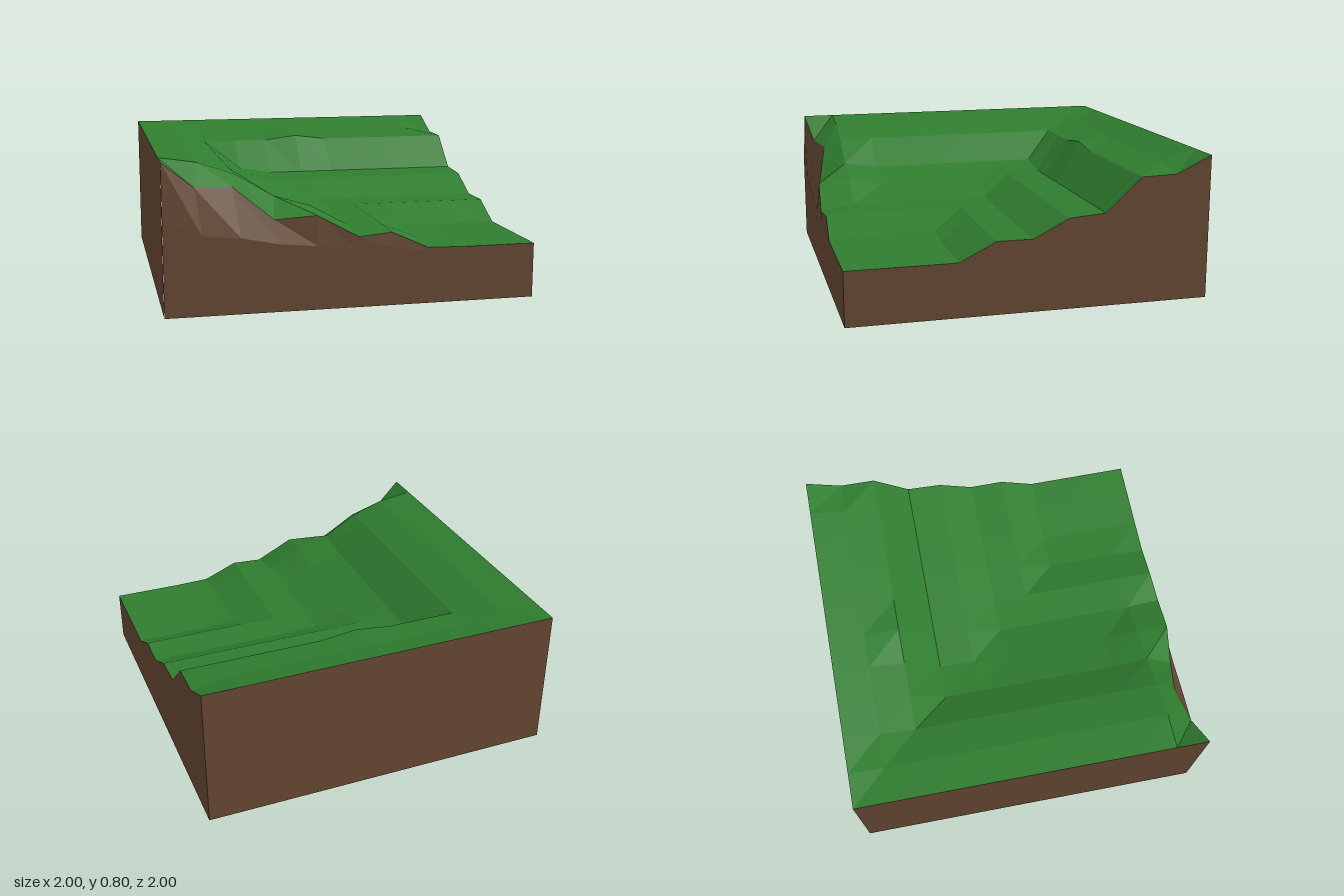
import * as THREE from 'three';

// Sheet through rows of points: columns run left to right and rows top to bottom, seen from outside
function sheet(name, rows, material) {
  const pos = [];
  for (let j = 0; j < rows.length - 1; j++) {
    for (let i = 0; i < rows[j].length - 1; i++) {
      const a = rows[j][i], b = rows[j][i + 1], c = rows[j + 1][i + 1], d = rows[j + 1][i];
      for (const p of [a, d, c, a, c, b]) pos.push(...p);
    }
  }
  const geo = new THREE.BufferGeometry();
  geo.setAttribute('position', new THREE.Float32BufferAttribute(pos, 3));
  geo.computeVertexNormals();
  const mesh = new THREE.Mesh(geo, material);
  mesh.name = name;
  return mesh;
}

export function createModel() {
  const grass = new THREE.MeshStandardMaterial({ color: 0x2f7d2f });
  grass.name = 'grass green';
  const soil = new THREE.MeshStandardMaterial({ color: 0x664833 });
  soil.name = 'soil brown';
  const group = new THREE.Group();
  group.name = 'terracedCornerTile';

  // Terrace heights falling from the left edge and from the back edge
  const fromLeft = [0.8, 0.77, 0.7, 0.55, 0.48, 0.41, 0.4, 0.32, 0.3, 0.3, 0.3];
  const fromBack = [0.8, 0.74, 0.7, 0.515, 0.5, 0.4, 0.4, 0.3, 0.3, 0.3, 0.3];
  const ground = fromBack.map((hb, j) => fromLeft.map((hl, i) =>
    [-1 + i * 0.2, Math.max(hl, hb), -1 + j * 0.2]));
  ground[1][10][1] = 0.705;
  ground[2][5][1] = 0.725;
  ground[9][3][1] = 0.58;
  ground[9][4][1] = 0.52;

  // Broken front rim, leaning back into the slope
  ground[10] = [
    [-1, 0.8, 0.985], [-0.83, 0.66, 0.945], [-0.63, 0.65, 0.9], [-0.42, 0.48, 0.955],
    [-0.2, 0.5, 0.985], [0.02, 0.38, 1], [0.2, 0.395, 0.99], [0.4, 0.305, 1],
    [0.6, 0.3, 1], [0.8, 0.3, 1], [1, 0.3, 1],
  ];
  group.add(sheet('grassSurface', ground, grass));

  // Earth walls dropping from each rim to the base
  const foot = (rim) => rim.map(([x, , z]) => [x, 0, z]);
  const back = [...ground[0]].reverse();
  const left = ground.map((row) => row[0]);
  const right = ground.map((row) => row[10]).reverse();
  group.add(sheet('backWall', [back, foot(back)], soil));
  group.add(sheet('leftWall', [left, foot(left)], soil));
  group.add(sheet('rightWall', [right, foot(right)], soil));

  // Front wall: upright below, a crumbled bank above
  const bankFoot = [0.5, 0.42, 0.4, 0.36, 0.34, 0.32, 0.31, 0.29, 0.28, 0.28, 0.28]
    .map((y, i) => [-1 + i * 0.2, y, 1]);
  group.add(sheet('frontWall', [ground[10], bankFoot, bankFoot.map(([x]) => [x, 0, 1])], soil));

  // Underside in two halves
  const under = (name, x0, x1, mat) => group.add(sheet(name,
    [[[x0, 0, 1], [x1, 0, 1]], [[x0, 0, -1], [x1, 0, -1]]], mat));
  under('leftUnderside', -1, 0, grass);
  under('rightUnderside', 0, 1, soil);

  return group;
}
